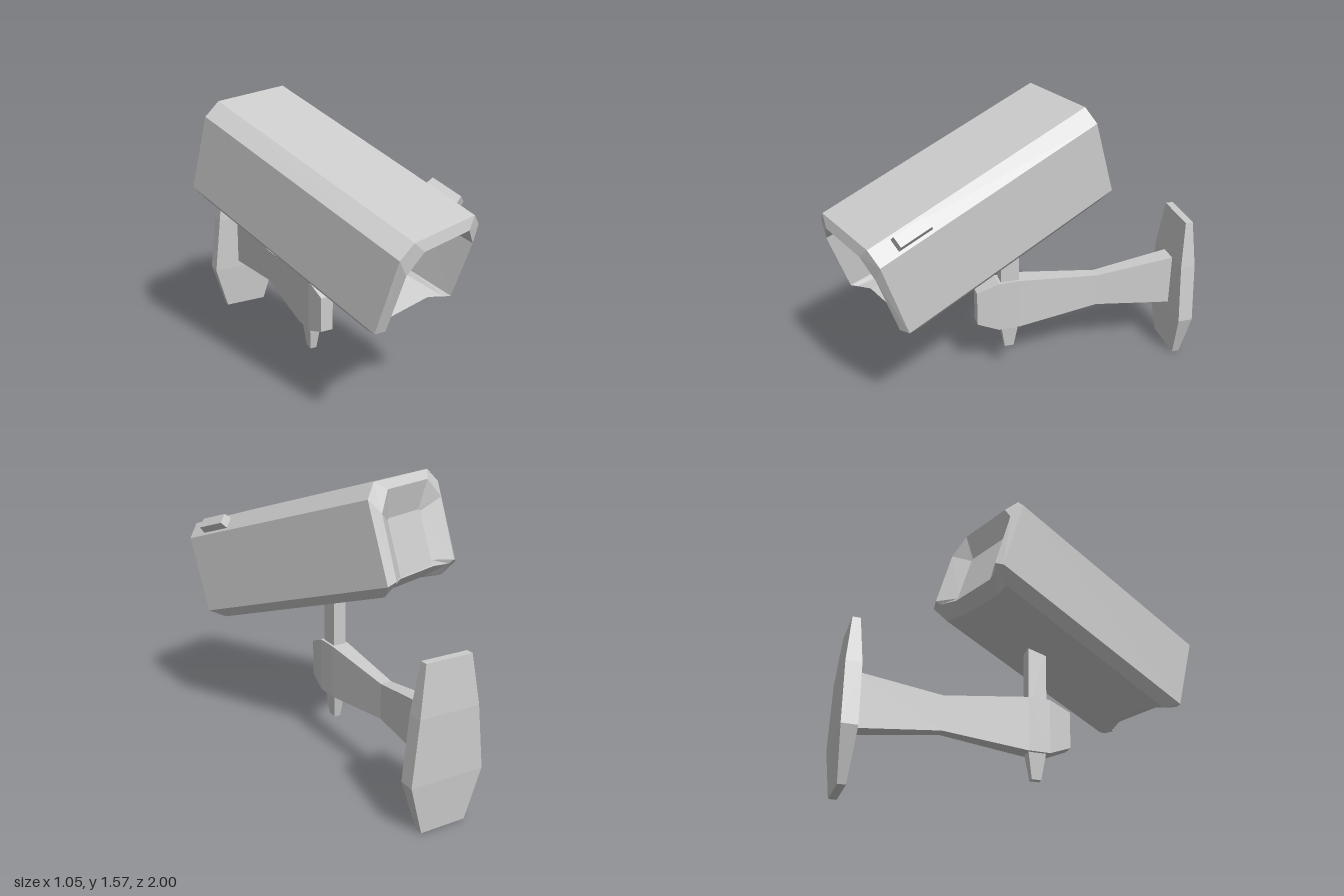
import * as THREE from 'three';

const material = new THREE.MeshStandardMaterial({ color: 0xcccccc, flatShading: true });

// Skins a list of rings of [x, y, z] points, counter-clockwise seen from the far end, and caps both ends.
function loft(name, rings) {
  const pos = [];
  const tri = (...points) => points.forEach((p) => pos.push(...p));
  const n = rings[0].length;
  for (let r = 0; r < rings.length - 1; r++) {
    const a = rings[r], b = rings[r + 1];
    for (let i = 0; i < n; i++) {
      const j = (i + 1) % n;
      tri(a[i], a[j], b[j]);
      tri(a[i], b[j], b[i]);
    }
  }
  const first = rings[0], last = rings[rings.length - 1];
  for (let i = 1; i < n - 1; i++) {
    tri(first[0], first[i + 1], first[i]);
    tri(last[0], last[i], last[i + 1]);
  }
  const geometry = new THREE.BufferGeometry();
  geometry.setAttribute('position', new THREE.Float32BufferAttribute(pos, 3));
  geometry.computeVertexNormals();
  const mesh = new THREE.Mesh(geometry, material);
  mesh.name = name;
  return mesh;
}

// Rectangular ring in the xy plane, for lofts along z
const ringZ = ([z, w, y0, y1]) => [[w, y0, z], [w, y1, z], [-w, y1, z], [-w, y0, z]];
// Rectangular ring in the xz plane, for lofts along y
const ringY = ([y, w, z0, z1]) => [[w, y, z1], [w, y, z0], [-w, y, z0], [-w, y, z1]];

// Housing: half profiles [x, y, outward offset] from bottom to top, mirrored in x
const LENGTH = 1.34;
const outer = [[0.15, -0.54, -0.11], [0.25, -0.56, -0.075], [0.3, -0.505, 0], [0.3, -0.075, 0], [0.228, 0, 0]];
const rim = [[0.145, -0.495, -0.035], [0.235, -0.505, 0], [0.255, -0.49, 0.025], [0.255, -0.155, 0.03], [0.17, -0.05, 0.03]];
const lens = [[0.13, -0.49, -0.22], [0.17, -0.485, -0.22], [0.185, -0.46, -0.22], [0.185, -0.13, -0.22], [0.14, -0.08, -0.22]];
const dish = [[0.139, -0.49, -0.037], [0.14, -0.48, -0.037], [0.14, -0.46, -0.037], [0.14, -0.2, -0.037], [0.13, -0.19, -0.037]];

function housingRing(half, front) {
  const side = half.map(([x, y, d]) => [x, y, front ? d : -LENGTH - d]);
  const mirrored = side.map(([x, y, z]) => [-x, y, z]).reverse();
  return [...side, ...mirrored];
}

export function createModel() {
  const model = new THREE.Group();
  model.name = 'securityCamera';

  // Wall plate
  model.add(loft('wallPlate', [
    [0, 0.127, -0.98, -0.938],
    [0.27, 0.205, -1, -0.917],
    [0.61, 0.168, -1, -0.917],
    [0.87, 0.13, -0.98, -0.938],
  ].map(ringY)));

  // Waisted arm
  model.add(loft('arm', [
    [-0.93, 0.052, 0.31, 0.612],
    [-0.47, 0.032, 0.365, 0.558],
    [-0.01, 0.05, 0.312, 0.612],
    [0.11, 0.05, 0.312, 0.612],
    [0.23, 0.035, 0.36, 0.562],
  ].map(ringZ)));

  // Upright post and the tapered pin below it
  model.add(loft('post', [[0.5, 0.036, -0.008, 0.095], [0.95, 0.036, -0.008, 0.095]].map(ringY)));
  model.add(loft('pin', [[0.17, 0.018, 0.018, 0.07], [0.33, 0.034, -0.008, 0.095]].map(ringY)));

  // Camera head, origin at the middle of its top front edge
  const head = new THREE.Group();
  head.name = 'cameraHead';
  head.position.set(0.245, 1.17, 0.92);
  head.rotation.set(0.302, 0.349, 0, 'YXZ');
  head.add(loft('housing', [
    housingRing(dish, false),
    housingRing(rim, false),
    housingRing(outer, false),
    housingRing(outer, true),
    housingRing(rim, true),
    housingRing(lens, true),
  ]));

  // Small block on the bevelled edge
  const block = loft('sideBlock', [
    [-0.02, 0.036, -0.1, 0.1],
    [0.045, 0.03, -0.09, 0.09],
  ].map(ringY));
  block.position.set(0.264, -0.038, -0.215);
  block.rotation.z = -Math.PI / 4;
  head.add(block);

  model.add(head);
  return model;
}
